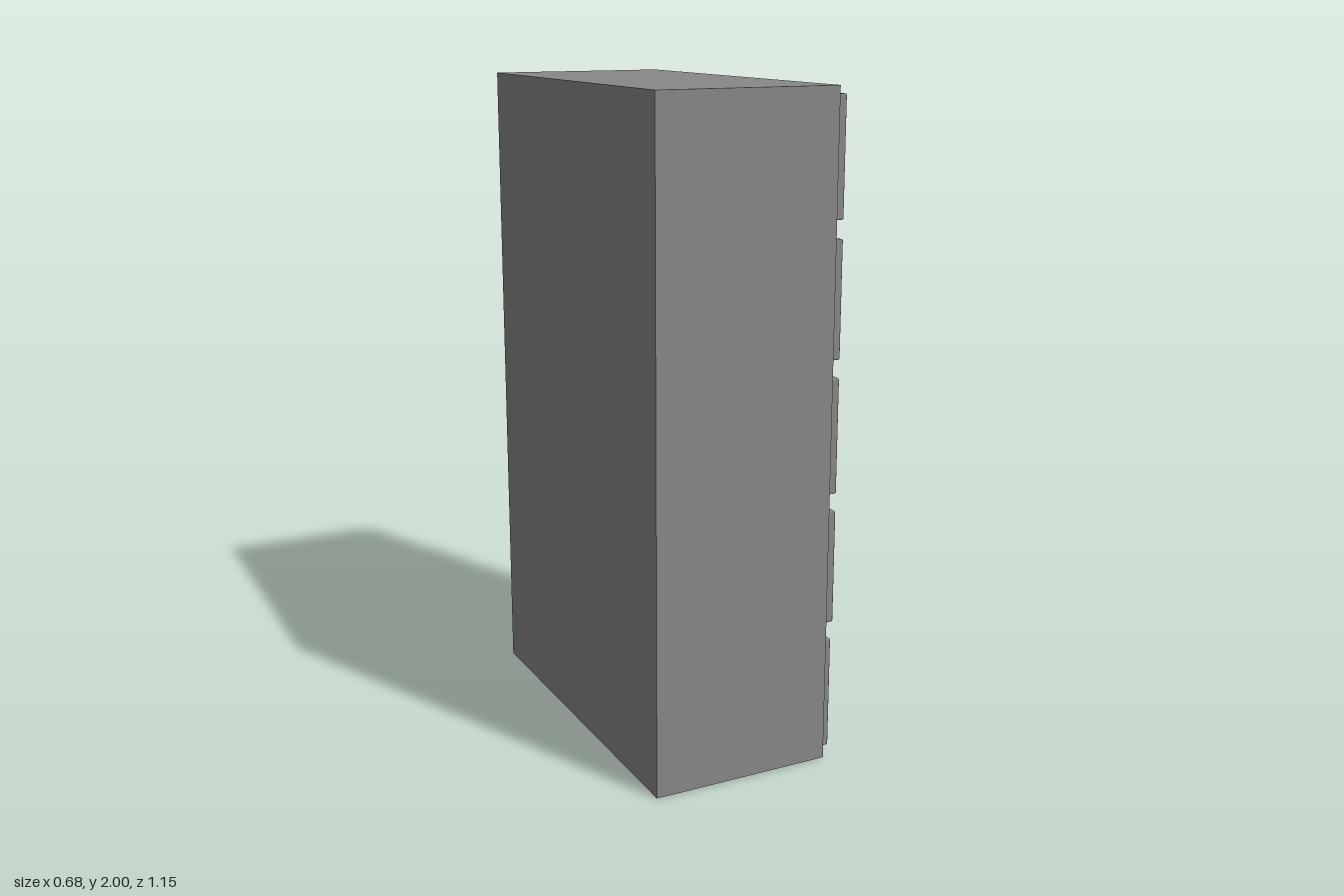
import * as THREE from 'three';
import { RoundedBoxGeometry } from 'three/addons/geometries/RoundedBoxGeometry.js';

const grey = new THREE.MeshStandardMaterial({ color: 0x888888 });
grey.name = 'cabinetGrey';
const bronze = new THREE.MeshStandardMaterial({ color: 0x574c45 });
bronze.name = 'handleBronze';

// U-shaped pull: outline in the x/z plane, extruded upwards with a small bevel
function handleGeometry() {
  const b = 0.004, out = 0.337 - b, inn = 0.305 + b, root = 0.246;
  const hw = 0.113 - b, iw = 0.085 + b, r = 0.006;
  const s = new THREE.Shape();
  s.moveTo(root, -hw);
  s.lineTo(out - r, -hw);
  s.quadraticCurveTo(out, -hw, out, -hw + r);
  s.lineTo(out, hw - r);
  s.quadraticCurveTo(out, hw, out - r, hw);
  s.lineTo(root, hw);
  s.lineTo(root, iw);
  s.lineTo(inn - r, iw);
  s.quadraticCurveTo(inn, iw, inn, iw - r);
  s.lineTo(inn, -iw + r);
  s.quadraticCurveTo(inn, -iw, inn - r, -iw);
  s.lineTo(root, -iw);
  s.closePath();
  const depth = 0.06 - 2 * b;
  const g = new THREE.ExtrudeGeometry(s, {
    depth, bevelEnabled: true, bevelThickness: b, bevelSize: b, bevelSegments: 2, curveSegments: 3,
  });
  g.translate(0, 0, -depth / 2);
  g.rotateX(-Math.PI / 2);
  return g;
}

export function createModel() {
  const group = new THREE.Group();
  group.name = 'drawerCabinet';
  const add = (geometry, material, name, x, y, z) => {
    const m = new THREE.Mesh(geometry, material);
    m.name = name;
    m.position.set(x, y, z);
    group.add(m);
  };

  // Carcass
  add(new THREE.BoxGeometry(0.56, 2, 1.15), grey, 'carcass', -0.06, 1, 0);

  // Bottom panel without a handle, then four drawers with handles
  const pull = handleGeometry();
  for (let i = 0; i < 5; i++) {
    const front = i === 0 ? 0.246 : 0.252, back = 0.21;
    const panel = new RoundedBoxGeometry(front - back, 0.346, 1.12, 2, 0.004);
    add(panel, grey, i === 0 ? 'plinthPanel' : 'drawerFront' + i, (front + back) / 2, 0.203 + i * 0.4, 0);
    if (i > 0) add(pull, bronze, 'handle' + i, 0, 0.67 + (i - 1) * 0.405, 0);
  }
  return group;
}
